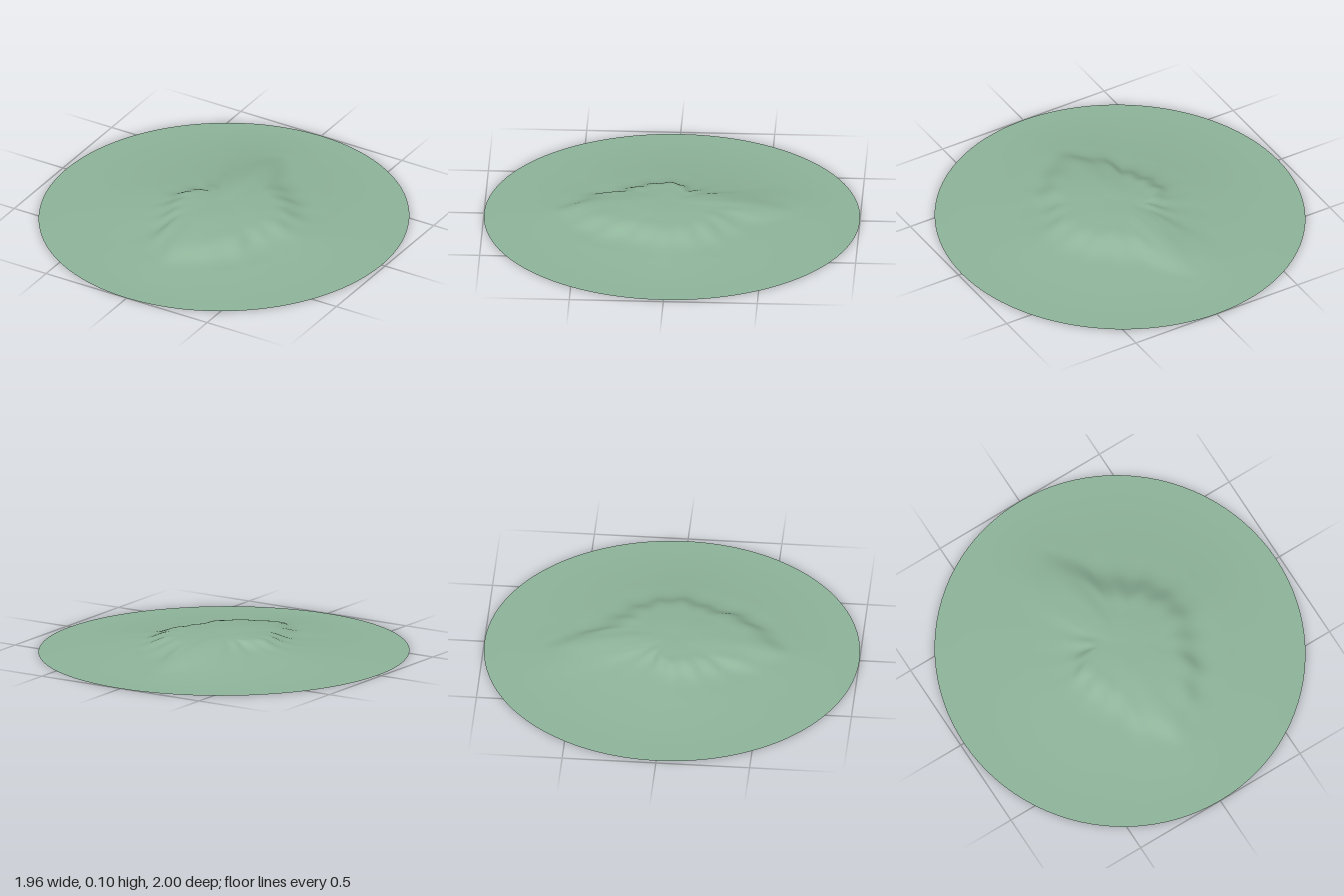
import * as THREE from 'three';

const SEGMENTS = 96, RINGS = 40, TOP = 0.095;

// Per direction (degrees from +x towards +z): rim radius, rim height, foot radius, foot height
const SECTIONS = [
  [0, 0.33, 0.08, 0.44, 0.042],
  [30, 0.31, 0.08, 0.42, 0.036],
  [60, 0.39, 0.076, 0.50, 0.03],
  [90, 0.48, 0.063, 0.60, 0.028],
  [108, 0.39, 0.066, 0.50, 0.033],
  [125, 0.27, 0.08, 0.38, 0.04],
  [150, 0.24, 0.086, 0.34, 0.047],
  [180, 0.23, 0.089, 0.31, 0.054],
  [207, 0.15, 0.09, 0.24, 0.062],
  [230, 0.17, 0.086, 0.30, 0.06],
  [252, 0.38, 0.067, 0.54, 0.04],
  [266, 0.50, 0.056, 0.66, 0.02],
  [285, 0.31, 0.08, 0.45, 0.034],
  [305, 0.28, 0.085, 0.41, 0.038],
  [330, 0.31, 0.08, 0.43, 0.036],
];

// Smoothly blend the neighbouring sections around the circle
function sectionAt(deg) {
  const n = SECTIONS.length;
  let i = n - 1;
  while (i > 0 && SECTIONS[i][0] > deg) i--;
  const a = SECTIONS[i], b = SECTIONS[(i + 1) % n];
  const end = i === n - 1 ? 360 : b[0];
  const t = (deg - a[0]) / (end - a[0]);
  const s = THREE.MathUtils.lerp(t, t * t * (3 - 2 * t), 0.5);
  return a.map((v, k) => THREE.MathUtils.lerp(v, b[k], s));
}

// Radial profile: flat top, rim, steep bank, then a skirt fading to the ground
function profileAt(deg) {
  const [, rim, rimH, foot, footH] = sectionAt(deg);
  const ripple = 0.008 * Math.sin(THREE.MathUtils.degToRad(deg * 17));
  const points = [
    [0, TOP],
    [rim * 0.35, TOP],
    [rim * 0.68, TOP * 0.65 + rimH * 0.35],
    [rim + ripple, rimH],
    [foot + ripple, footH],
  ];
  for (const t of [0.25, 0.5, 0.75, 1]) {
    points.push([foot + (1 - foot) * t, footH * Math.pow(1 - t, 1.9)]);
  }
  return new THREE.CatmullRomCurve3(points.map(([r, y]) => new THREE.Vector3(r, y, 0)));
}

function moundGeometry() {
  const positions = [0, TOP, 0], index = [];
  const at = (s, ring) => 1 + (s % SEGMENTS) * RINGS + ring;
  for (let s = 0; s < SEGMENTS; s++) {
    const deg = (s / SEGMENTS) * 360, a = THREE.MathUtils.degToRad(deg);
    const profile = profileAt(deg);
    for (let k = 1; k <= RINGS; k++) {
      const p = profile.getPoint(k / RINGS);
      positions.push(0.98 * p.x * Math.cos(a), Math.max(0, p.y), p.x * Math.sin(a));
    }
    index.push(0, at(s + 1, 0), at(s, 0));
    for (let k = 0; k < RINGS - 1; k++) {
      const p = at(s, k), q = at(s + 1, k);
      index.push(p, q, p + 1, q, q + 1, p + 1);
    }
  }
  const geometry = new THREE.BufferGeometry();
  geometry.setAttribute('position', new THREE.Float32BufferAttribute(positions, 3));
  geometry.setIndex(index);
  geometry.computeVertexNormals();
  return geometry;
}

export function createModel() {
  const group = new THREE.Group();
  group.name = 'terrain';
  // Open ground sheet with a low flat-topped hill
  const material = new THREE.MeshStandardMaterial({ color: 0x8fb59b, side: THREE.DoubleSide });
  const hill = new THREE.Mesh(moundGeometry(), material);
  hill.name = 'hillGround';
  group.add(hill);
  return group;
}
